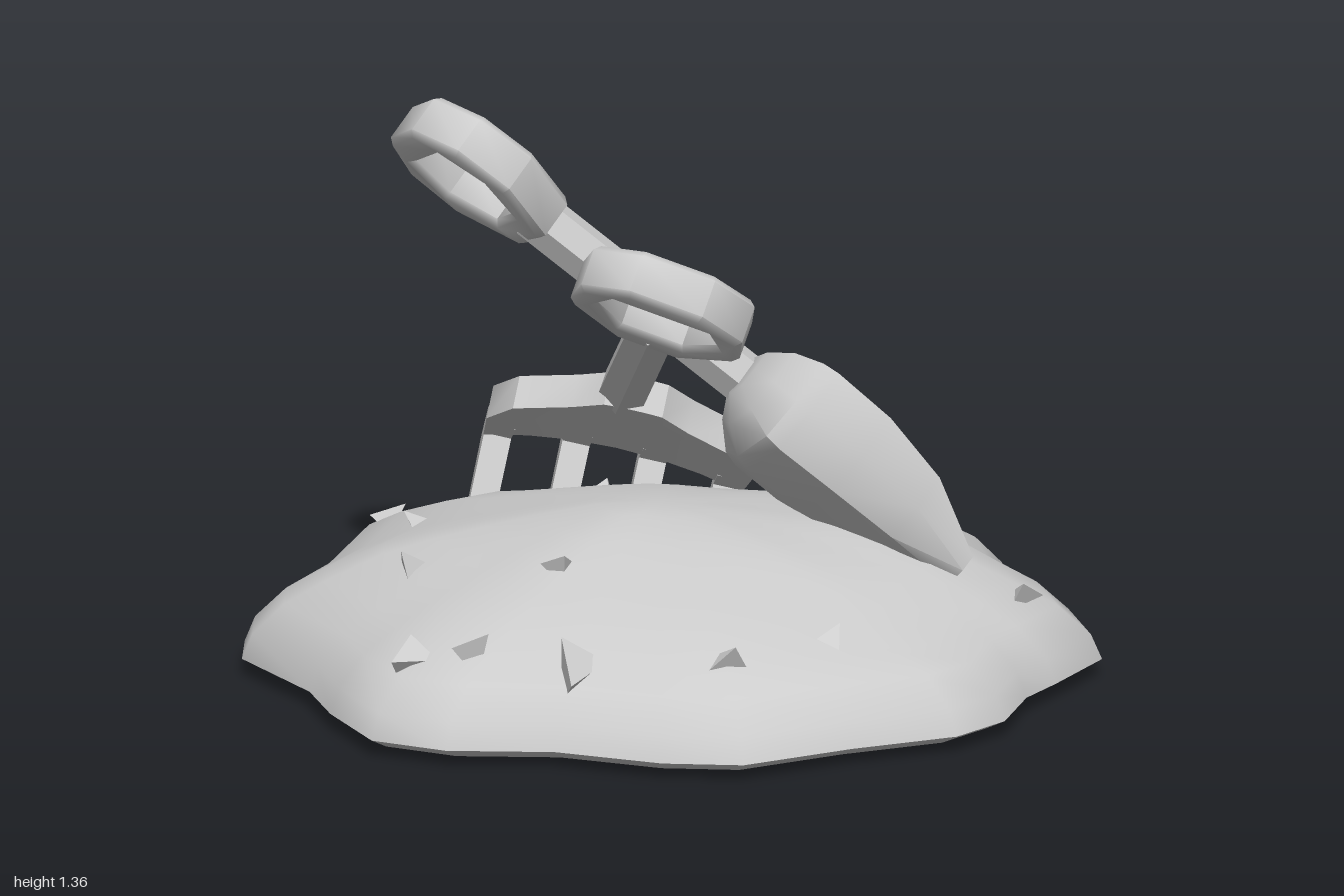
import * as THREE from 'three';
import { toCreasedNormals } from 'three/addons/utils/BufferGeometryUtils.js';

const grey = new THREE.MeshStandardMaterial({ color: 0xcccccc });
grey.name = 'plainGrey';

function mesh(name, geo, parent) {
  const m = new THREE.Mesh(geo, grey);
  m.name = name;
  parent.add(m);
  return m;
}

function indexed(points, index) {
  const g = new THREE.BufferGeometry();
  g.setAttribute('position', new THREE.Float32BufferAttribute(points.flat(), 3));
  g.setIndex(index);
  return g;
}

// Mound outline seen from above, as x, z pairs
const outline = [
  [1, 0], [0.98, 0.15], [0.88, 0.3], [0.83, 0.55], [0.72, 0.75], [0.5, 0.83], [0.37, 0.87],
  [0.2, 0.98], [0.03, 1], [-0.22, 0.91], [-0.5, 0.84], [-0.63, 0.7], [-0.75, 0.46], [-0.93, 0.28],
  [-1, 0.1], [-0.92, -0.13], [-0.83, -0.3], [-0.76, -0.61], [-0.65, -0.72], [-0.4, -0.82],
  [-0.1, -1], [0.13, -0.98], [0.35, -0.9], [0.5, -0.85], [0.63, -0.79], [0.75, -0.64],
  [0.82, -0.36], [0.97, -0.12],
];
// Height of the sand against the fraction of the way to the rim, then the underside
const profile = [[0, 0.385], [0.15, 0.38], [0.3, 0.365], [0.42, 0.345], [0.54, 0.315], [0.66, 0.28],
  [0.8, 0.22], [0.9, 0.17], [0.975, 0.1], [1, 0.04], [0.95, 0.015], [0, 0]];
const rim = 9;

const bump = (x, z, cx, cz, h, r) => h * Math.exp(-((x - cx) ** 2 + (z - cz) ** 2) / (r * r));

// Heaps and dips, fading out at the rim
function relief(x, z, t) {
  return Math.min(1, 4 * (1 - t)) * (bump(x, z, 0.52, 0.25, 0.04, 0.2) + bump(x, z, -0.15, 0, 0.02, 0.25)
    - bump(x, z, 0.48, -0.5, 0.1, 0.24) - bump(x, z, 0.1, 0.75, 0.03, 0.14)
    + 0.01 * Math.sin(7 * x + 2) * Math.sin(6 * z + 1));
}

function sandHeight(x, z) {
  const angle = (p) => (Math.atan2(p[1], p[0]) + 2 * Math.PI) % (2 * Math.PI);
  const a = angle([x, z]);
  const near = outline.reduce((b, p) => (Math.abs(angle(p) - a) < Math.abs(angle(b) - a) ? p : b));
  const t = Math.min(0.97, Math.hypot(x, z) / Math.hypot(...near));
  const k = profile.findIndex((p) => p[0] > t);
  const [t0, h0] = profile[k - 1], [t1, h1] = profile[k];
  return h0 + (h1 - h0) * (t - t0) / (t1 - t0) + relief(x, z, t);
}

// Triangles joining rows of n points, each row closed into a ring
function ringFaces(rows, n) {
  const idx = [];
  for (let k = 0; k < rows - 1; k++) {
    for (let i = 0; i < n; i++) {
      const a = k * n + i, b = k * n + (i + 1) % n;
      idx.push(a, b, a + n, b, b + n, a + n);
    }
  }
  return idx;
}

function moundGeometry() {
  const pts = [], n = outline.length;
  profile.forEach(([t, h], k) => outline.forEach(([x, z]) => {
    pts.push([x * t, h + (k < rim ? relief(x * t, z * t, t) : 0), z * t]);
  }));
  // Drop the empty half of each quad at the two centres
  const idx = ringFaces(profile.length, n).filter((_, i, all) => {
    const tri = all.slice(i - (i % 3), i - (i % 3) + 3);
    const last = (profile.length - 1) * n;
    return tri.filter((v) => v < n).length < 2 && tri.filter((v) => v >= last).length < 2;
  });
  return toCreasedNormals(indexed(pts, idx), 0.8);
}

// Group whose x runs down the shaft, y across the tool and z out of its face
function toolFrame(name, centre, along, across) {
  const a = new THREE.Vector3(...along).normalize();
  const w = new THREE.Vector3(...across);
  w.addScaledVector(a, -w.dot(a)).normalize();
  const m = new THREE.Matrix4().makeBasis(a, w, new THREE.Vector3().crossVectors(a, w));
  const g = new THREE.Group();
  g.name = name;
  g.quaternion.setFromRotationMatrix(m);
  g.position.set(...centre);
  return g;
}

const toPoints = (list) => list.map((p) => new THREE.Vector2(...p));

// Eight-sided grip with a six-sided opening, and the six-sided shaft below it
function addHandle(tool, end) {
  const grip = new THREE.Shape(toPoints([[0.205, -0.08], [0.205, 0.08], [0.05, 0.21], [-0.1, 0.2],
    [-0.2, 0.09], [-0.2, -0.09], [-0.1, -0.2], [0.05, -0.21]]));
  grip.holes.push(new THREE.Path(toPoints([[0.115, -0.075], [0, -0.15], [-0.115, -0.11],
    [-0.115, 0.11], [0, 0.15], [0.115, 0.075]])));
  const ring = new THREE.ExtrudeGeometry(grip, {
    depth: 0.09, bevelEnabled: true, bevelThickness: 0.015, bevelSize: 0.015, bevelOffset: -0.015, bevelSegments: 1,
  }).translate(0, 0, -0.045);
  mesh('grip', toCreasedNormals(ring, 0.8), tool);
  const length = end - 0.16;
  const shaft = new THREE.CylinderGeometry(0.063, 0.063, length, 6).rotateZ(-Math.PI / 2)
    .translate(0.16 + length / 2, 0, 0);
  mesh('shaft', toCreasedNormals(shaft, 0.6), tool);
}

// Scoop from U-shaped sections: position, half width, rim, outer floor, inner floor
function scoopGeometry() {
  const rows = [
    [0.7, 0.08, 0.05, -0.06, 0.05], [0.74, 0.16, 0.07, -0.12, 0.07], [0.8, 0.23, 0.075, -0.17, 0.075],
    [0.84, 0.245, 0.075, -0.18, -0.1], [1.0, 0.255, 0.065, -0.18, -0.12], [1.18, 0.235, 0.03, -0.17, -0.13],
    [1.36, 0.195, -0.06, -0.15, -0.13],
  ];
  const pts = [];
  const u = [[-1, 0], [-0.98, 0.45], [-0.75, 0.85], [0, 1], [0.75, 0.85], [0.98, 0.45], [1, 0]];
  const n = 2 * u.length;
  for (const [x, hw, top, outer, inner] of rows) {
    u.forEach(([y, f]) => pts.push([x, y * hw, top + (outer - top) * f]));
    [...u].reverse().forEach(([y, f]) => pts.push([x, y * (hw - 0.065), top + (inner - top) * f]));
  }
  const idx = ringFaces(rows.length, n);
  const e = (rows.length - 1) * n;
  for (let j = 0; j < u.length - 1; j++) {
    const p = j, q = j + 1, r = n - 2 - j, s = n - 1 - j;
    idx.push(p, r, q, p, s, r, e + p, e + q, e + r, e + p, e + r, e + s);
  }
  return toCreasedNormals(indexed(pts, idx), 0.75).translate(0.085, -0.045, 0);
}

function addRakeHead(tool) {
  const group = new THREE.Group();
  group.name = 'rakeHead';
  group.position.set(0.02, -0.03, -0.01);
  group.rotation.x = -0.13;
  tool.add(group);
  // Plate widening from the shaft and bowed down toward both sides
  const halfWidths = [[0.82, 0.07], [0.89, 0.14], [0.94, 0.27], [1.04, 0.32], [1.21, 0.31]];
  const plate = new THREE.BoxGeometry(4, 2, 0.08, 4, 6, 1);
  const p = plate.attributes.position;
  for (let i = 0; i < p.count; i++) {
    const [x, w] = halfWidths[Math.round(p.getX(i) + 2)];
    const y = p.getY(i) * w;
    p.setXYZ(i, x, y, p.getZ(i) - 0.4 * y * y);
  }
  mesh('headPlate', toCreasedNormals(plate, 0.6), group);
  // Four bent tines
  const bent = new THREE.Shape(toPoints([[1.15, -0.04], [1.24, -0.04], [1.26, -0.22], [1.32, -0.22],
    [1.33, -0.02], [1.29, 0.035], [1.15, 0.035]]));
  for (let i = 0; i < 4; i++) {
    const y = -0.275 + i * 0.1833;
    const tine = new THREE.ExtrudeGeometry(bent, { depth: 0.065, bevelEnabled: false })
      .rotateX(Math.PI / 2).translate(0, y + 0.0325, -0.35 * y * y);
    mesh('tine', tine, group);
  }
}

export function createModel() {
  const model = new THREE.Group();
  model.name = 'sandPileWithTools';
  mesh('sandMound', moundGeometry(), model);

  const shovel = toolFrame('shovel', [-0.215, 1.17, -0.385], [0.56, -0.63, 0.54], [0.4, -0.37, -0.84]);
  addHandle(shovel, 0.84);
  mesh('scoop', scoopGeometry(), shovel);

  const rake = toolFrame('rake', [-0.29, 1.01, 0.335], [0.51, -0.485, -0.71], [-0.64, 0.33, -0.69]);
  addHandle(rake, 0.88);
  addRakeHead(rake);
  model.add(shovel, rake);

  // Loose chips on the sand: x, z, size
  const chips = [[-0.06, -0.86, 0.06], [0.48, -0.71, 0.07], [-0.52, -0.28, 0.08], [0.8, -0.09, 0.08],
    [-0.85, 0.07, 0.08], [-0.75, 0.18, 0.08], [-0.63, 0.4, 0.11], [-0.4, 0.1, 0.06], [-0.39, 0.66, 0.07],
    [-0.09, 0.69, 0.06], [0.55, 0.66, 0.06], [-0.22, -0.59, 0.06]];
  chips.forEach(([x, z, size], i) => {
    const chip = mesh('sandChip', new THREE.TetrahedronGeometry(size), model);
    chip.scale.set(1, 0.6, 0.8);
    chip.rotation.set(i * 0.3, i * 1.7, 0.4);
    chip.position.set(x, sandHeight(x, z), z);
  });
  return model;
}
